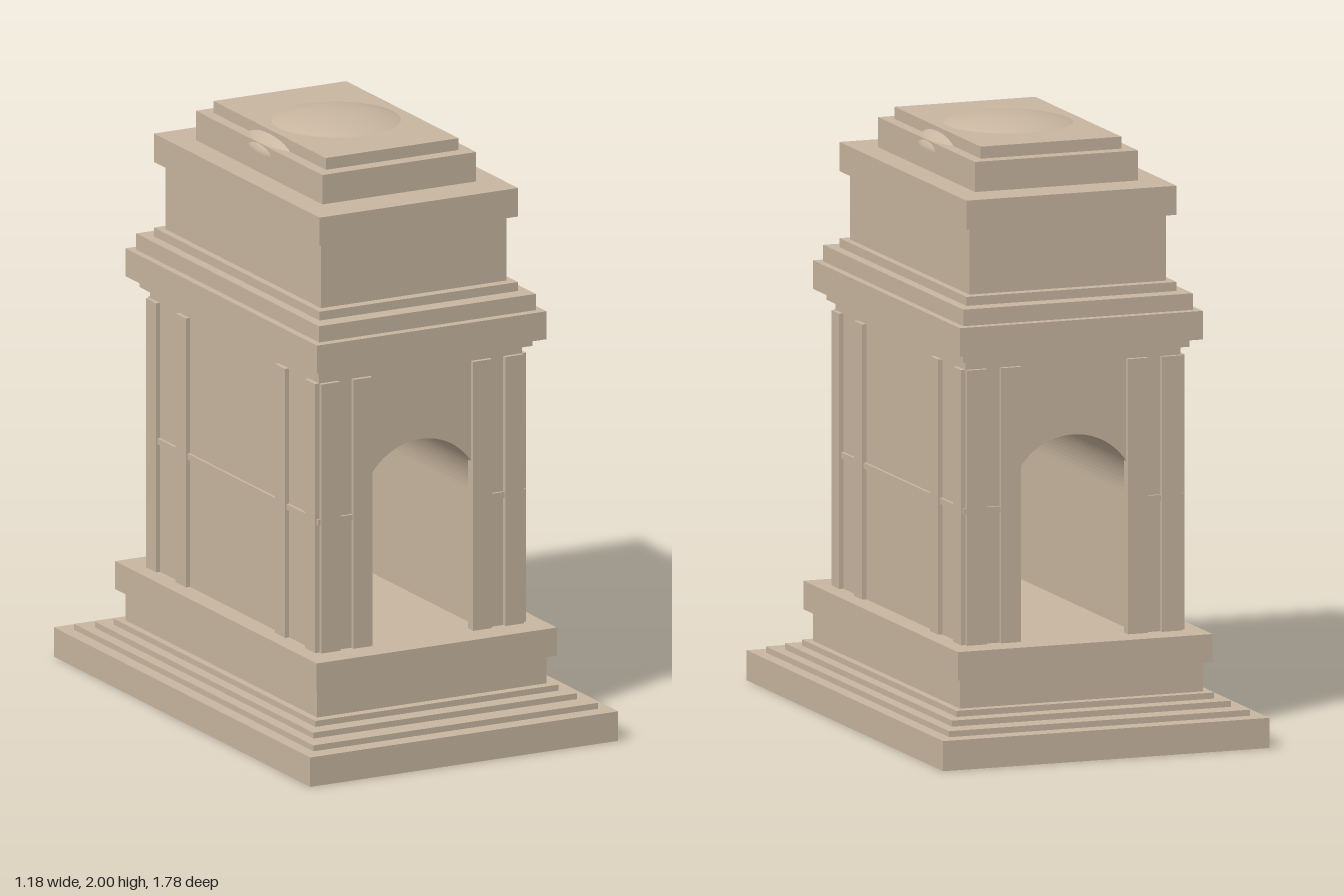
import * as THREE from 'three';

const stone = new THREE.MeshStandardMaterial({ color: 0xc8b6a0, side: THREE.DoubleSide });

export function createModel() {
  const model = new THREE.Group();
  model.name = 'archMonument';

  const add = (name, geometry, x = 0, y = 0, z = 0) => {
    const mesh = new THREE.Mesh(geometry, stone);
    mesh.name = name;
    mesh.position.set(x, y, z);
    model.add(mesh);
    return mesh;
  };
  const box = (name, w, h, d, x, y, z) => add(name, new THREE.BoxGeometry(w, h, d), x, y, z);

  // Stacked slabs: name, half width, half depth, bottom, top
  const slabs = [
    ['baseSlab', 0.573, 0.879, 0, 0.1],
    ['lowerStep', 0.529, 0.82, 0.1, 0.12],
    ['middleStep', 0.49, 0.748, 0.12, 0.14],
    ['upperStep', 0.452, 0.691, 0.14, 0.16],
    ['plinth', 0.427, 0.657, 0.16, 0.26],
    ['plinthCap', 0.447, 0.691, 0.26, 0.355],
    ['corniceBed', 0.398, 0.612, 1.3, 1.33],
    ['cornice', 0.427, 0.657, 1.33, 1.425],
    ['corniceStep', 0.403, 0.627, 1.425, 1.48],
    ['atticFoot', 0.369, 0.568, 1.48, 1.51],
    ['attic', 0.345, 0.533, 1.51, 1.733],
    ['atticCap', 0.369, 0.568, 1.733, 1.83],
    ['roofTier', 0.286, 0.434, 1.83, 1.93],
    ['roofTopTier', 0.247, 0.385, 1.93, 1.97],
  ];
  for (const [name, a, b, y0, y1] of slabs) {
    box(name, 2 * a, y1 - y0, 2 * b, 0, (y0 + y1) / 2, 0);
  }

  // Body with an arched passage running front to back
  const A = 0.378, B = 0.58, floor = 0.355, bodyTop = 1.3, R = 0.225, spring = 0.805;
  const outline = new THREE.Shape();
  outline.moveTo(-A, floor);
  outline.lineTo(-R, floor);
  outline.lineTo(-R, spring);
  outline.absarc(0, spring, R, Math.PI, 0, true);
  outline.lineTo(R, floor);
  outline.lineTo(A, floor);
  outline.lineTo(A, bodyTop);
  outline.lineTo(-A, bodyTop);
  outline.closePath();
  const body = new THREE.ExtrudeGeometry(outline, { depth: 2 * B, bevelEnabled: false, curveSegments: 24 });
  add('archedBody', body, 0, 0, -B);

  // Pilasters and impost bands on all four faces
  const pilasterTop = 1.27, ph = pilasterTop - floor, py = (pilasterTop + floor) / 2;
  const out = 0.015, w = 0.07;
  for (const s of [-1, 1]) {
    for (const t of [-1, 1]) {
      for (const x of [0.2225, 0.342]) {
        box('endPilaster', w, ph, 0.034, t * x, py, s * (B + out - 0.017));
      }
      for (const z of [0.34, 0.545]) {
        box('sidePilaster', 0.03, ph, w, s * (A + out - 0.015), py, t * z);
      }
      box('endBand', A + 0.008 - R, 0.02, 0.03, t * (A + 0.008 + R) / 2, 0.8, s * (B - 0.006));
    }
    box('sideBand', 0.03, 0.02, 2 * B + 0.018, s * (A - 0.006), 0.8, 0);
  }

  // Shallow dome sunk into the roof tiers, bulging through the long sides
  const dome = new THREE.SphereGeometry(0.298, 40, 12, 0, Math.PI * 2, 0, Math.PI / 2);
  dome.scale(1, 0.1 / 0.298, 1);
  add('dome', dome, 0, 1.9, 0);
  const underside = new THREE.CircleGeometry(0.298, 40);
  underside.rotateX(Math.PI / 2);
  add('domeUnderside', underside, 0, 1.9, 0);

  // The whole building stands slightly turned
  model.rotation.y = -0.0195;
  const root = new THREE.Group();
  root.name = 'monument';
  root.add(model);
  return root;
}
